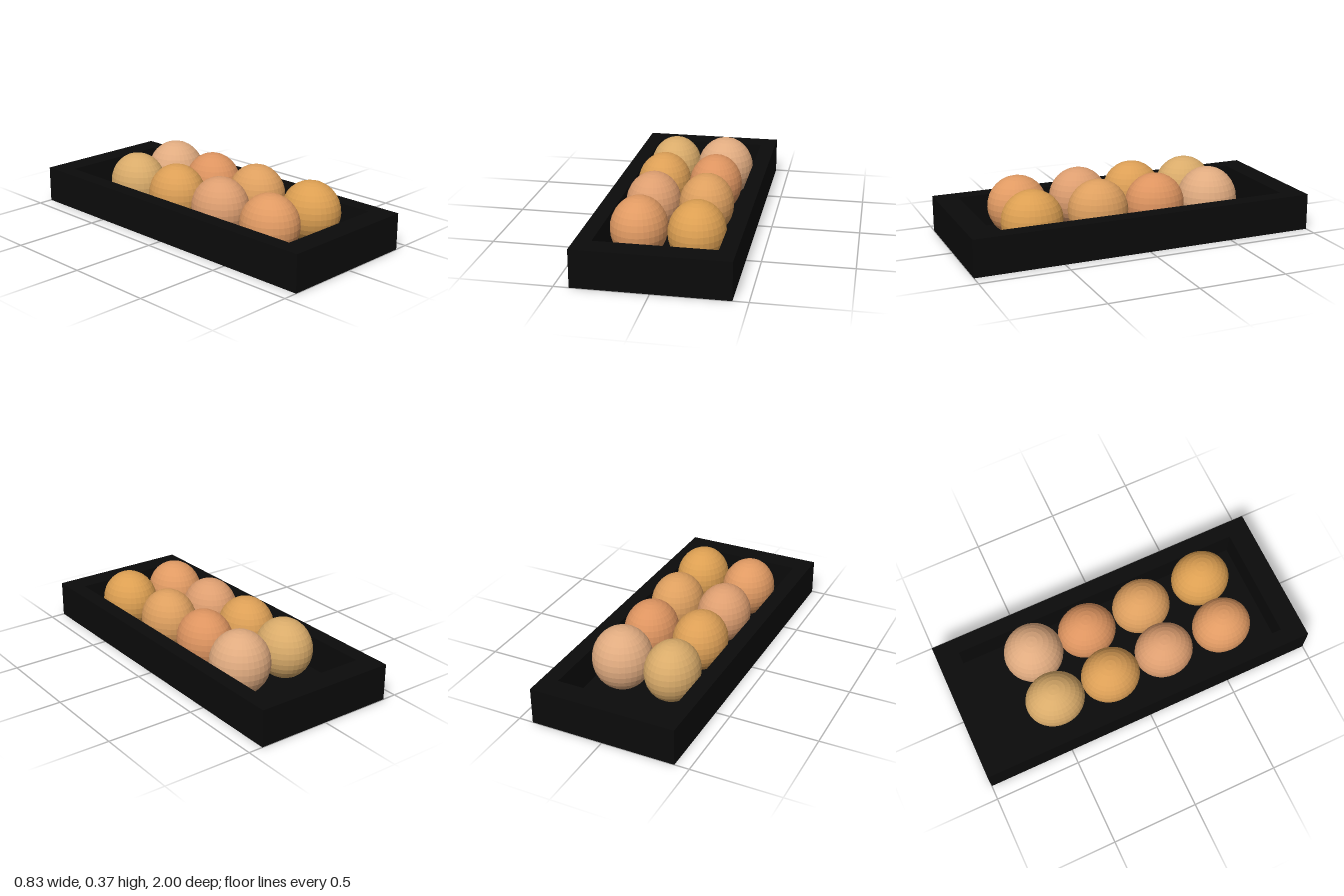
import * as THREE from 'three';

const W = 0.834, L = 2, H = 0.21;          // tray outer size
const SIDE = 0.09, END = 0.13, FLOOR = 0.02; // wall and floor thickness

export function createModel() {
  const model = new THREE.Group();

  // Tray: rectangular wall ring with a thin floor
  const tray = new THREE.Group();
  tray.name = 'tray';
  const black = new THREE.MeshStandardMaterial({ color: 0x0b0b0b, flatShading: true });

  const rect = (Type, w, l) => new Type([
    new THREE.Vector2(-w / 2, -l / 2), new THREE.Vector2(w / 2, -l / 2),
    new THREE.Vector2(w / 2, l / 2), new THREE.Vector2(-w / 2, l / 2),
  ]);
  const ring = rect(THREE.Shape, W, L);
  ring.holes.push(rect(THREE.Path, W - 2 * SIDE, L - 2 * END));
  const wallGeometry = new THREE.ExtrudeGeometry(ring, { depth: H, bevelEnabled: false });
  wallGeometry.rotateX(-Math.PI / 2);
  const walls = new THREE.Mesh(wallGeometry, black);
  walls.name = 'trayWalls';

  const floor = new THREE.Mesh(new THREE.BoxGeometry(W - 2 * SIDE, FLOOR, L - 2 * END), black);
  floor.position.y = FLOOR / 2;
  floor.name = 'trayFloor';
  tray.add(walls, floor);
  model.add(tray);

  // Eggs: [x, z, top, radius x, radius y, radius z, color]
  const eggs = [
    [-0.15, -0.478, 0.355, 0.153, 0.172, 0.172, 0xd9ab6a],
    [0.156, -0.478, 0.367, 0.168, 0.183, 0.172, 0xe0ab80],
    [-0.154, -0.135, 0.361, 0.155, 0.172, 0.172, 0xdc9f56],
    [0.148, -0.146, 0.363, 0.153, 0.172, 0.171, 0xdd9460],
    [-0.147, 0.206, 0.361, 0.154, 0.172, 0.171, 0xdd9e70],
    [0.153, 0.203, 0.367, 0.153, 0.174, 0.172, 0xdd9f5f],
    [-0.147, 0.576, 0.354, 0.155, 0.172, 0.172, 0xe09a63],
    [0.169, 0.595, 0.357, 0.156, 0.172, 0.173, 0xdc9f52],
  ];
  const sphere = new THREE.SphereGeometry(1, 32, 16);
  eggs.forEach(([x, z, top, rx, ry, rz, color], i) => {
    const egg = new THREE.Mesh(sphere, new THREE.MeshStandardMaterial({ color, flatShading: true }));
    egg.name = `egg${i + 1}`;
    egg.scale.set(rx, ry, rz);
    egg.position.set(x, top - ry, z);
    model.add(egg);
  });

  return model;
}
